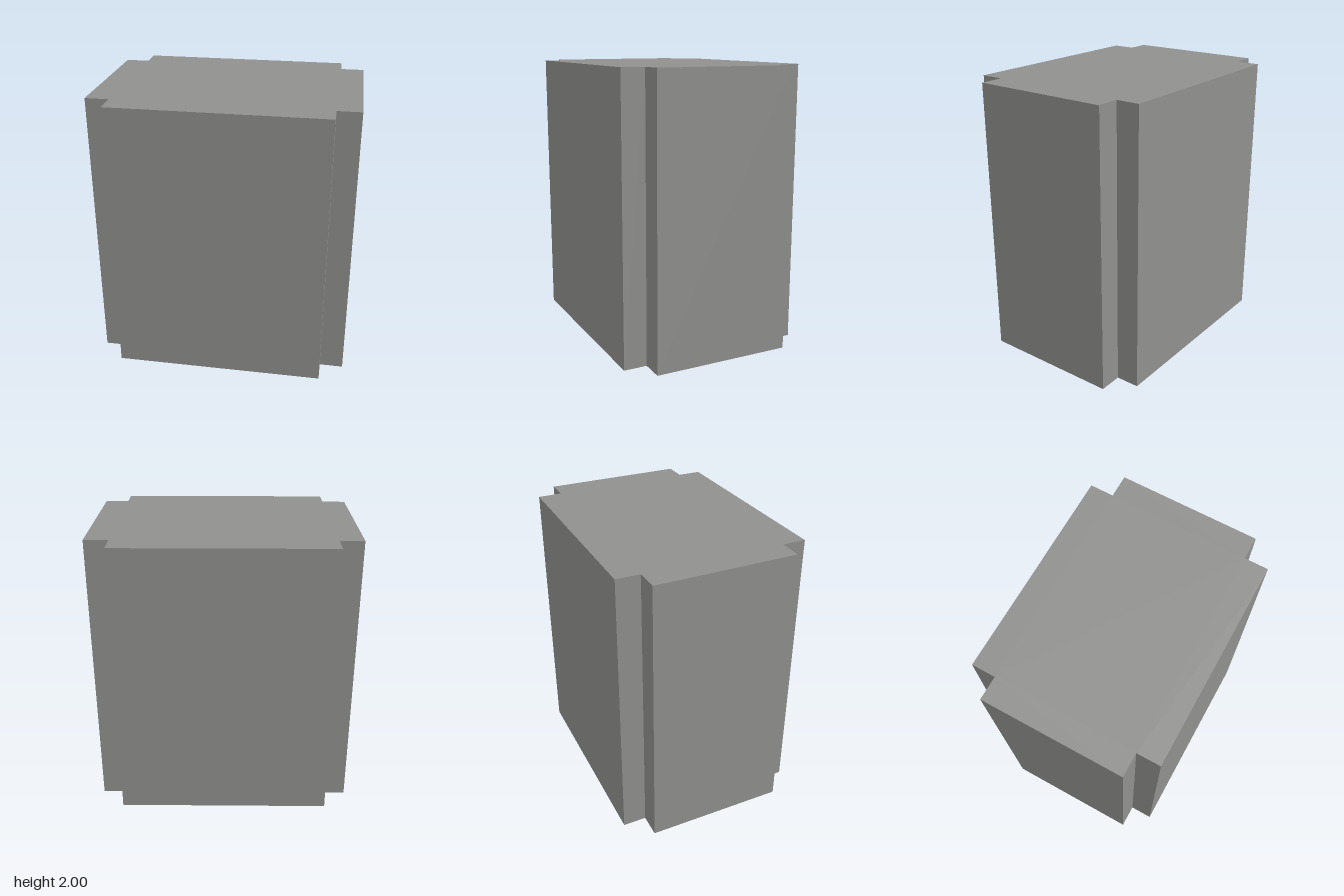
import * as THREE from 'three';

export function createModel() {
  const model = new THREE.Group();
  model.name = 'notchedCover';
  const grey = new THREE.MeshStandardMaterial({ color: 0x90908e, side: THREE.DoubleSide });
  grey.name = 'warmGrey';

  const height = 2;
  const outerX = 0.917, innerX = 0.75; // half widths outside and inside the corner notches
  const outerZ = 0.667, innerZ = 0.5;

  // Plan outline, counter-clockwise: one notched corner per quadrant
  const corner = [[outerX, innerZ], [innerX, innerZ], [innerX, outerZ]];
  const outline = [];
  for (const [sx, sy] of [[1, 1], [-1, 1], [-1, -1], [1, -1]]) {
    const points = corner.map(([x, y]) => new THREE.Vector2(x * sx, y * sy));
    outline.push(...(sx * sy > 0 ? points : points.reverse()));
  }

  // Top panel
  const top = new THREE.Mesh(new THREE.ShapeGeometry(new THREE.Shape(outline)), grey);
  top.name = 'topPanel';
  top.rotation.x = -Math.PI / 2;
  top.position.y = height;
  model.add(top);

  // Thin side walls, open underneath
  const walls = new THREE.Group();
  walls.name = 'sideWalls';
  outline.forEach((p, i) => {
    const q = outline[(i + 1) % outline.length];
    const wall = new THREE.Mesh(new THREE.PlaneGeometry(p.distanceTo(q), height), grey);
    wall.name = 'wallPanel';
    wall.position.set((p.x + q.x) / 2, height / 2, -(p.y + q.y) / 2);
    wall.rotation.y = Math.atan2(q.y - p.y, q.x - p.x);
    walls.add(wall);
  });
  model.add(walls);

  return model;
}
